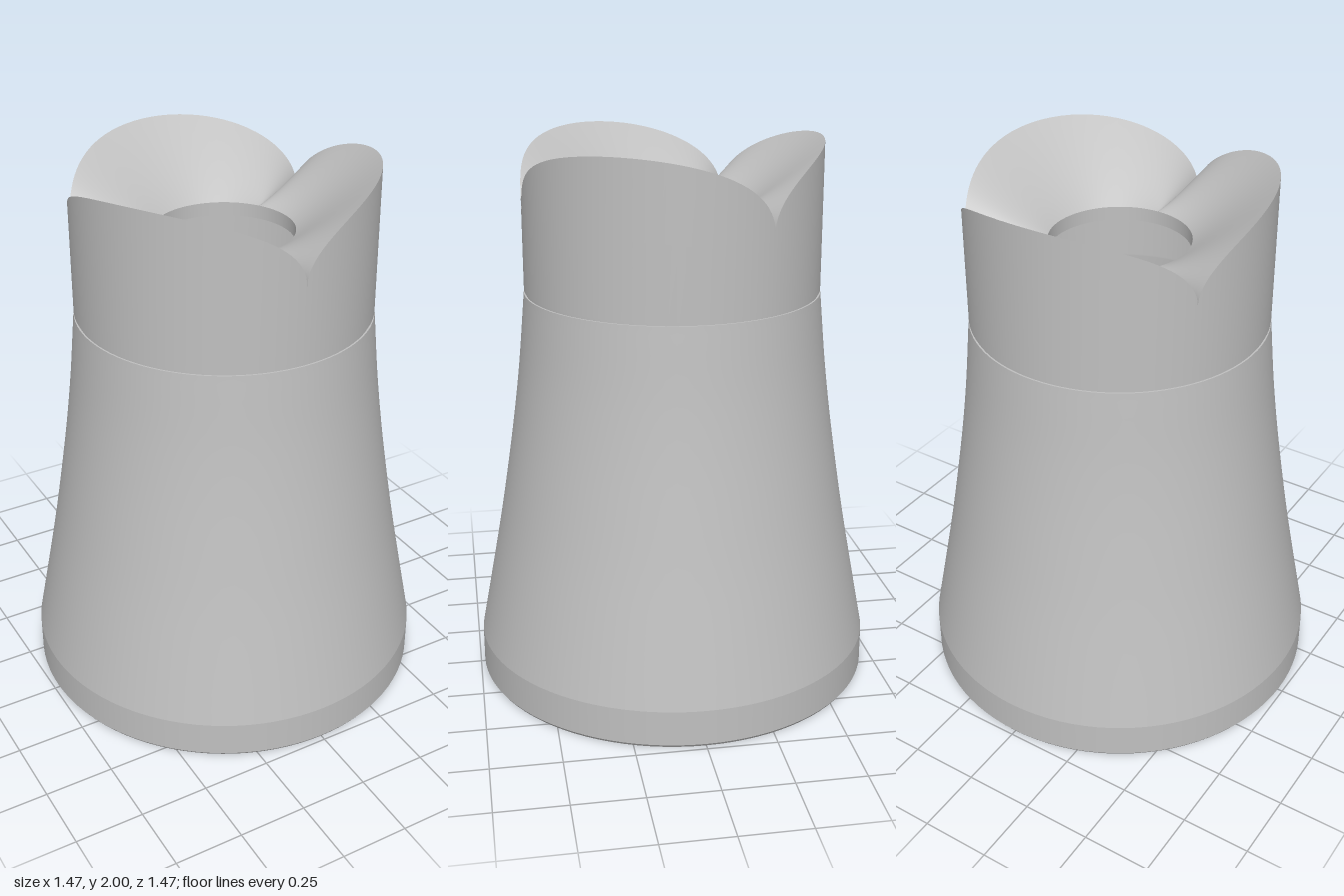
import * as THREE from 'three';

const grey = new THREE.MeshStandardMaterial({ color: 0xc0c0c0 });
grey.name = 'plain grey';

const COLLAR_R = 0.535, COLLAR_Y = 1.465;
const THROAT_R = 0.25, THROAT_Y = 1.75;

export function createModel() {
  const model = new THREE.Group();
  model.name = 'flaredNozzle';

  const add = (name, geometry) => {
    const mesh = new THREE.Mesh(geometry, grey);
    mesh.name = name;
    model.add(mesh);
  };
  const lathe = (name, points, sides = 96) =>
    add(name, new THREE.LatheGeometry(points.map(([r, y]) => new THREE.Vector2(r, y)), sides));

  // Smooth surface over u, v in 0..1
  const surface = (name, nu, nv, point) => {
    const g = new THREE.PlaneGeometry(1, 1, nu, nv);
    const { position, uv } = g.attributes;
    for (let i = 0; i < position.count; i++) {
      position.setXYZ(i, ...point(uv.getX(i), uv.getY(i)));
    }
    g.computeVertexNormals();
    add(name, g);
  };

  // Outer skirt: short straight foot, then a concave taper
  const taper = new THREE.SplineCurve([
    [0.735, 0.14], [0.685, 0.4], [0.648, 0.6], [0.615, 0.8],
    [0.585, 1.0], [0.56, 1.2], [0.541, 1.4], [0.536, 1.455],
  ].map(([r, y]) => new THREE.Vector2(r, y))).getPoints(28).map((p) => [p.x, p.y]);
  lathe('footEdge', [[0.66, 0], [0.728, 0]]);
  lathe('footBevel', [[0.728, 0], [0.735, 0.01]]);
  lathe('foot', [[0.735, 0.01], [0.735, 0.14]]);
  lathe('skirt', taper);

  // Fine groove between skirt and collar
  lathe('grooveLower', [[0.536, 1.455], [0.53, 1.455]]);
  lathe('grooveFloor', [[0.53, 1.455], [0.53, COLLAR_Y]]);
  lathe('grooveUpper', [[0.53, COLLAR_Y], [COLLAR_R, COLLAR_Y]]);

  // Three arched lobes, meeting in cusps at the front and both back quarters
  for (let k = 0; k < 3; k++) {
    const rim = (u) => {
      const phi = u * Math.PI;
      return {
        angle: (k * 2 + 1 - Math.cos(phi)) * Math.PI / 3,
        height: 1.74 + 0.26 * Math.sin(phi),
      };
    };
    surface(`collarLobe${k + 1}`, 48, 2, (u, v) => {
      const { angle, height } = rim(u);
      return [COLLAR_R * Math.sin(angle), THREE.MathUtils.lerp(COLLAR_Y, height, v), COLLAR_R * Math.cos(angle)];
    });
    surface(`funnelLobe${k + 1}`, 48, 10, (u, v) => {
      const { angle, height } = rim(u);
      const r = THREE.MathUtils.lerp(COLLAR_R, THROAT_R, v);
      return [r * Math.sin(angle), THREE.MathUtils.lerp(height, THROAT_Y, v), r * Math.cos(angle)];
    });
  }

  // Throat and hollow interior
  lathe('throat', [[THROAT_R, THROAT_Y], [THROAT_R, 1.7]]);
  lathe('cavityCeiling', [[THROAT_R, 1.7], [0.465, 1.7]]);
  const inner = [...taper].reverse().map(([r, y]) => [r - 0.07, y]);
  lathe('cavityWall', [[0.465, 1.7], ...inner, [0.66, 0]]);

  return model;
}
